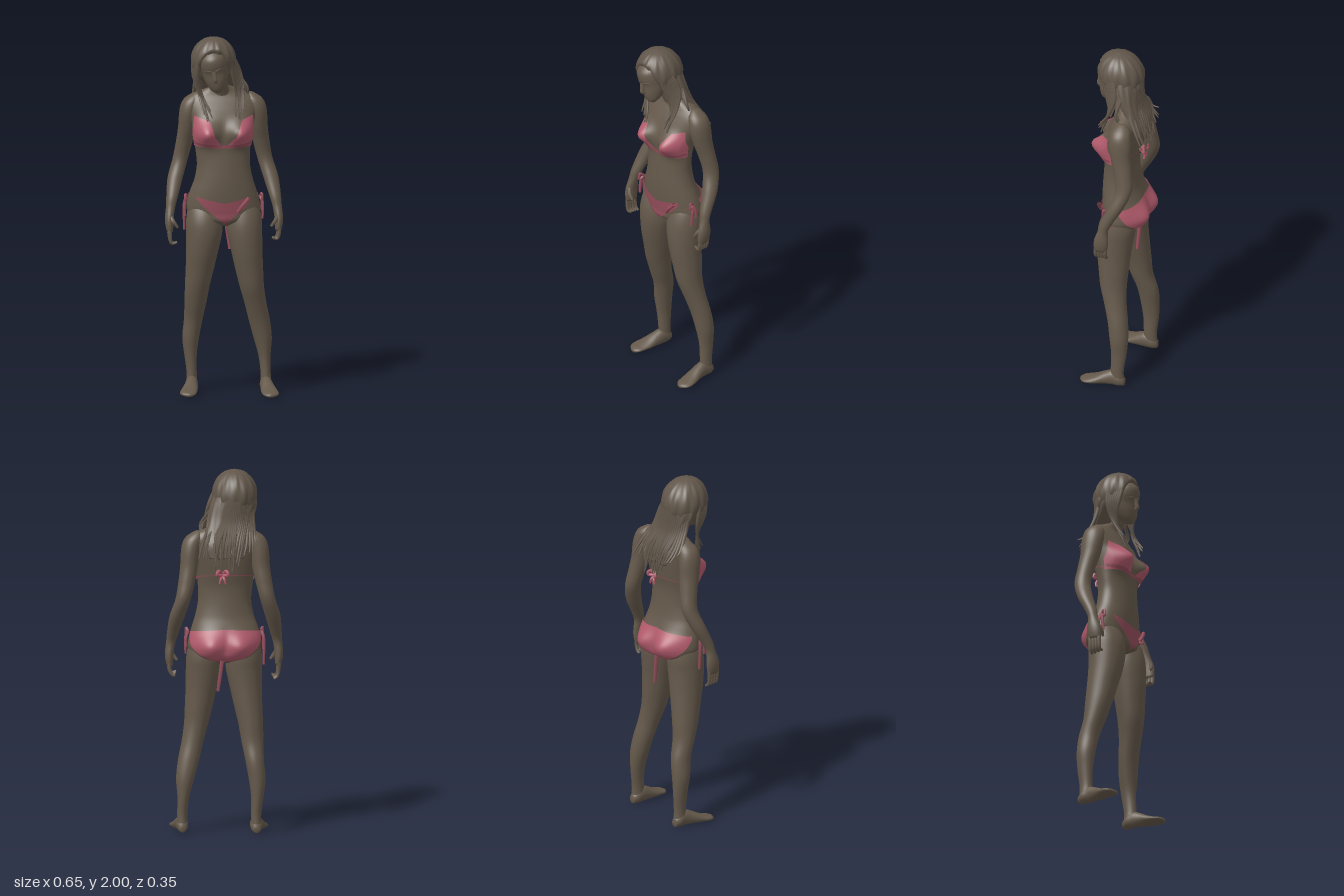
import * as THREE from 'three';

const skin = new THREE.MeshStandardMaterial({ color: 0x65594b });
skin.name = 'skin';
const hair = new THREE.MeshStandardMaterial({ color: 0x61564a });
hair.name = 'hair';
const pink = new THREE.MeshStandardMaterial({ color: 0xb05a6b, side: THREE.DoubleSide });
pink.name = 'pink cloth';
const dusky = new THREE.MeshStandardMaterial({ color: 0x934d5a, side: THREE.DoubleSide });
dusky.name = 'dusky pink cloth';

let seed = 7;
const rand = () => ((seed = (seed * 16807) % 2147483647) / 2147483647);
const v3 = (p) => new THREE.Vector3(...p);
const ramp = THREE.MathUtils.smoothstep;

// Smooth lookup of a section [key, x, z, rx, rz] at a given key
function section(rows, k) {
  let i = 0;
  while (i < rows.length - 2 && k > rows[i + 1][0]) i++;
  const a = rows[i], b = rows[i + 1], h = b[0] - a[0], t = (k - a[0]) / h;
  const slope = (j, c) => {
    const p = rows[Math.max(j - 1, 0)], q = rows[Math.min(j + 1, rows.length - 1)];
    return (q[c] - p[c]) / (q[0] - p[0]);
  };
  return a.map((_, c) => {
    const t2 = t * t, t3 = t2 * t;
    return (2 * t3 - 3 * t2 + 1) * a[c] + (t3 - 2 * t2 + t) * h * slope(i, c)
      + (3 * t2 - 2 * t3) * b[c] + (t3 - t2) * h * slope(i + 1, c);
  });
}

// Surface grid from a point rule; u runs around, v runs upward
function grid(nu, nv, closed, point) {
  const pos = [], idx = [], cols = closed ? nu : nu + 1;
  for (let j = 0; j <= nv; j++) for (let i = 0; i < cols; i++) pos.push(...point(i / nu, j / nv));
  for (let j = 0; j < nv; j++) for (let i = 0; i < nu; i++) {
    const a = j * cols + i, b = j * cols + (i + 1) % cols;
    idx.push(a, a + cols, b, b, a + cols, b + cols);
  }
  const g = new THREE.BufferGeometry();
  g.setAttribute('position', new THREE.Float32BufferAttribute(pos, 3));
  g.setIndex(idx);
  g.computeVertexNormals();
  return g;
}

// Closed loft through elliptical sections
function loft(rows, nu = 28, nv = 48, bump = null) {
  const k0 = rows[0][0], k1 = rows[rows.length - 1][0];
  return grid(nu, nv + 2, true, (u, v) => {
    const j = Math.round(v * (nv + 2)), t = Math.min(Math.max((j - 1) / nv, 0), 1);
    const r = j === 0 || j === nv + 2 ? 0.01 : 1, th = u * Math.PI * 2;
    const [y, x, z, rx, rz] = section(rows, k0 + (k1 - k0) * t);
    const b = r * (bump ? bump(th, t) : 1);
    return [x + rx * b * Math.cos(th), y, z + rz * b * Math.sin(th)];
  });
}

// Tapered tube through points
function strand(pts, r, tip = 0.25, seg = 14) {
  const curve = new THREE.CatmullRomCurve3(pts.map(v3));
  const g = new THREE.TubeGeometry(curve, seg, r, 6), p = g.attributes.position, q = new THREE.Vector3();
  for (let i = 0; i < p.count; i++) {
    const t = Math.floor(i / 7) / seg, c = curve.getPointAt(t);
    q.fromBufferAttribute(p, i).sub(c).multiplyScalar(1 - (1 - tip) * t * t).add(c);
    p.setXYZ(i, q.x, q.y, q.z);
  }
  return g;
}

const torsoRows = [
  [0.94, -0.005, -0.01, 0.05, 0.045], [0.97, -0.005, -0.012, 0.16, 0.1], [1.02, -0.005, -0.014, 0.2, 0.11],
  [1.08, -0.008, -0.012, 0.197, 0.113], [1.14, -0.008, -0.004, 0.18, 0.108], [1.2, -0.007, 0.004, 0.16, 0.1],
  [1.28, -0.008, 0.007, 0.146, 0.093], [1.36, -0.011, 0.005, 0.15, 0.09], [1.44, -0.012, -0.003, 0.16, 0.097],
  [1.52, -0.01, -0.015, 0.175, 0.098], [1.58, -0.01, -0.025, 0.195, 0.09], [1.63, -0.012, -0.035, 0.198, 0.076],
  [1.665, -0.015, -0.038, 0.165, 0.06], [1.69, -0.018, -0.034, 0.105, 0.052], [1.72, -0.02, -0.02, 0.05, 0.045],
];

// Torso surface with bust and seat swells
function torsoPoint(th, y, off = 0) {
  const [, cx, cz, rx, rz] = section(torsoRows, y), s = Math.sin(th);
  const x = cx + (rx + off) * Math.cos(th);
  const [amp, x0, y0, sx, sy] = s > 0 ? [0.073, 0.098, 1.467, 0.066, 0.06] : [-0.05, 0.085, 1.035, 0.075, 0.066];
  const swell = amp * Math.exp(-(((Math.abs(x - cx) - x0) / sx) ** 2) - ((y - y0) / sy) ** 2);
  return [x, y, cz + (rz + off) * s + swell * Math.min(1, Math.abs(s) * 2.5)];
}

// Cloth patch lying on the torso
const patch = (a, b, low, high, off = 0.006) => grid(40, 16, false, (u, v) => {
  const th = a + (b - a) * u, lo = low(th), hi = high(th);
  return torsoPoint(th, lo + (hi - lo) * v, off);
});

export function createModel() {
  const root = new THREE.Group();
  root.name = 'figure';
  const add = (name, geo, mat, parent = root) => {
    const m = new THREE.Mesh(geo, mat);
    m.name = name;
    parent.add(m);
    return m;
  };
  const P = Math.PI;

  // Torso and neck
  add('torso', grid(64, 90, true, (u, v) => torsoPoint(u * 2 * P, 0.94 + 0.78 * v)), skin);
  add('neck', loft([[1.6, -0.012, -0.04, 0.07, 0.05], [1.66, -0.015, -0.03, 0.06, 0.052],
    [1.72, -0.028, 0.0, 0.048, 0.05], [1.8, -0.045, 0.04, 0.047, 0.055]]), skin);

  // Legs, each with its own stance
  add('leftLeg', loft([[0.03, 0.228, -0.045, 0.03, 0.04], [0.1, 0.228, -0.046, 0.028, 0.037],
    [0.2, 0.222, -0.053, 0.033, 0.043], [0.3, 0.212, -0.05, 0.05, 0.052], [0.4, 0.193, -0.037, 0.058, 0.056],
    [0.5, 0.17, -0.015, 0.06, 0.062], [0.6, 0.148, 0.003, 0.067, 0.074], [0.7, 0.133, 0.007, 0.077, 0.084],
    [0.8, 0.12, 0.009, 0.086, 0.094], [0.9, 0.109, 0.004, 0.096, 0.102], [0.97, 0.105, -0.004, 0.098, 0.102],
    [1.04, 0.1, -0.01, 0.09, 0.085], [1.1, 0.1, -0.01, 0.06, 0.05]], 32, 60), skin);
  add('rightLeg', loft([[0.03, -0.175, -0.098, 0.03, 0.04], [0.1, -0.174, -0.098, 0.028, 0.037],
    [0.2, -0.18, -0.1, 0.034, 0.044], [0.3, -0.18, -0.095, 0.046, 0.053], [0.4, -0.167, -0.085, 0.051, 0.058],
    [0.5, -0.157, -0.055, 0.06, 0.062], [0.6, -0.148, -0.035, 0.068, 0.076], [0.7, -0.135, -0.02, 0.078, 0.086],
    [0.8, -0.123, -0.006, 0.088, 0.096], [0.9, -0.113, 0.0, 0.099, 0.102], [0.97, -0.112, -0.004, 0.1, 0.102],
    [1.04, -0.11, -0.01, 0.09, 0.085], [1.1, -0.11, -0.01, 0.06, 0.05]], 32, 60), skin);

  // Feet: sections run from heel to toe, height stored as negative z
  const foot = (name, x, z, turn) => {
    const rows = [[-0.05, 0, -0.03, 0.018, 0.022], [-0.025, 0, -0.04, 0.031, 0.037], [0.015, 0, -0.048, 0.033, 0.046],
      [0.06, 0.15, -0.04, 0.037, 0.038], [0.11, 0.4, -0.027, 0.045, 0.025], [0.15, 0.6, -0.02, 0.046, 0.017],
      [0.18, 0.6, -0.016, 0.037, 0.013], [0.198, 0.5, -0.013, 0.014, 0.008]]
      .map(([k, b, h, rx, ry]) => [k, b * turn, h, rx, ry]);
    add(name, loft(rows, 24, 36).rotateX(P / 2), skin).position.set(x, 0, z);
  };
  foot('leftFoot', 0.228, -0.038, 0.025);
  foot('rightFoot', -0.175, -0.09, -0.05);

  // Arms with hands and fingers
  for (const s of [1, -1]) {
    const side = s > 0 ? 'left' : 'right', ax = (x) => s * x - (s < 0 ? 0.012 : 0), drop = s > 0 ? 0 : 0.02;
    const arm = [[0.915, 0.291, 0.03, 0.017, 0.035], [0.95, 0.294, 0.027, 0.022, 0.041], [0.99, 0.294, 0.024, 0.024, 0.039],
      [1.05, 0.286, 0.015, 0.026, 0.028], [1.1, 0.277, -0.002, 0.032, 0.034], [1.2, 0.256, -0.05, 0.042, 0.043],
      [1.3, 0.226, -0.083, 0.042, 0.046], [1.4, 0.204, -0.072, 0.046, 0.05], [1.48, 0.191, -0.055, 0.049, 0.057],
      [1.56, 0.183, -0.045, 0.052, 0.064], [1.61, 0.172, -0.042, 0.053, 0.06], [1.645, 0.157, -0.042, 0.045, 0.048],
      [1.672, 0.14, -0.042, 0.018, 0.02]];
    add(side + 'Arm', loft(arm.map(([y, x, z, a, b]) => [y, ax(x), z, a, b]), 28, 56), skin);
    for (let f = 0; f < 4; f++) {
      const z = f * 0.018;
      add(side + 'Finger', strand([[ax(0.292), 0.94, z], [ax(0.293), 0.9, z + 0.003], [ax(0.283), 0.872 - drop, z + 0.002],
        [ax(0.266 - f * 0.004), 0.86 - drop + f * 0.006, z]], 0.0115, 0.65), skin);
    }
    add(side + 'Thumb', strand([[ax(0.29), 1.0, 0.045], [ax(0.272), 0.97, 0.06], [ax(0.25), 0.94, 0.058]], 0.013, 0.6), skin);
  }

  // Head, bowed and tipped to one side
  const head = new THREE.Group();
  head.name = 'head';
  head.position.set(-0.06, 1.82, 0.075);
  head.rotation.set(0.22, -0.1, 0.2);
  root.add(head);
  add('face', loft([[-0.115, 0, 0.045, 0.02, 0.018], [-0.095, 0, 0.036, 0.042, 0.044], [-0.05, 0, 0.012, 0.064, 0.073],
    [0, 0, -0.005, 0.076, 0.085], [0.05, 0, -0.005, 0.078, 0.09], [0.09, 0, -0.005, 0.066, 0.078],
    [0.125, 0, -0.005, 0.025, 0.03]], 32, 36), skin, head);
  add('nose', strand([[0, 0.02, 0.076], [0, -0.01, 0.088], [0, -0.03, 0.094], [0, -0.04, 0.078]], 0.012, 1), skin, head);
  for (const [name, y, z] of [['upperLip', -0.062, 0.078], ['lowerLip', -0.074, 0.075]])
    add(name, strand([[-0.022, y - 0.002, z - 0.01], [0, y, z], [0.022, y - 0.002, z - 0.01]], 0.007, 0.7), skin, head);
  for (const s of [1, -1])
    add('brow', strand([[s * 0.01, 0.02, 0.077], [s * 0.03, 0.026, 0.071], [s * 0.055, 0.018, 0.052]], 0.009, 0.5), skin, head);

  // Hair cap with an arched hairline, and the ridged mass down the back
  const ridge = (th, t) => 1 + 0.022 * Math.sin(th * 13 + t * 4) + 0.015 * Math.sin(th * 23 - t * 6);
  const hairline = (th, t) => {
    const s = Math.sin(th), edge = 0.25 + 0.42 * ramp(s, 0.6, 1);
    return ridge(th, t) - 0.2 * ramp(s, 0.5, 0.8) * (1 - ramp(t, edge - 0.05, edge + 0.12));
  };
  const cap = [];
  for (let i = 0; i <= 8; i++) {
    const a = -1.0 + 2.5 * i / 8;
    cap.push([1.865 + 0.133 * Math.sin(a), -0.065, 0.034 + 0.012 * Math.sin(a), 0.122 * Math.cos(a), 0.13 * Math.cos(a)]);
  }
  add('hairCap', loft(cap, 72, 48, hairline), hair);
  add('backHair', loft([[1.53, -0.01, -0.135, 0.09, 0.012], [1.6, -0.015, -0.115, 0.12, 0.025],
    [1.66, -0.02, -0.08, 0.12, 0.038], [1.74, -0.035, -0.035, 0.122, 0.06], [1.82, -0.055, -0.002, 0.122, 0.085],
    [1.9, -0.065, 0.02, 0.1, 0.09]], 72, 40, ridge), hair);

  // Loose locks down the back
  for (let i = 0; i < 26; i++) {
    const f = i / 25 - 0.5, j = rand() - 0.5, low = 1.44 + 0.12 * rand() + f * f * 0.2;
    add('backLock', strand([[-0.06 + f * 0.19, 1.84, -0.085 + f * f * 0.28], [-0.04 + f * 0.24, 1.72, -0.095 + f * f * 0.2],
      [-0.02 + f * 0.27 + j * 0.04, 1.61, -0.14 + f * f * 0.12], [-0.01 + f * 0.26 + j * 0.08, low, -0.14 - 0.025 * rand()]],
      0.014, 0.2), hair);
  }
  // Locks framing the face and hanging over the chest
  for (let i = 0; i < 7; i++) {
    const o = i * 0.011, e = 1.53 + 0.07 * rand();
    add('rightFrontLock', strand([[-0.08 - o * 0.4, 1.965, 0.105 - o], [-0.138 - o * 0.4, 1.89, 0.115 - o], [-0.158 - o * 0.3, 1.8, 0.1 - o],
      [-0.135 - o * 0.2, 1.69, 0.07 - o * 0.3], [-0.075 - o * 0.8, e, 0.1 + 0.01 * rand()]], 0.013, 0.25), hair);
    add('leftFrontLock', strand([[-0.06 + o * 0.5, 1.965, 0.105 - o], [0.01 + o * 0.4, 1.89, 0.11 - o], [0.038 + o * 0.7, 1.79, 0.085 - o],
      [0.06 + o * 0.6, 1.67, 0.06], [0.055 + o * 0.6, e + 0.01, 0.1 + 0.01 * rand()]], 0.013, 0.25), hair);
    if (i < 4) add('strayLock', strand([[0.03, 1.87, 0.03 - o], [0.065, 1.79, 0.02 - o], [0.095 + o, 1.73 - o, 0.0],
      [0.125 - o * 0.5, 1.69 - o * 2, -0.01 - o]], 0.011, 0.25), hair);
  }

  // Bikini top: cups with a steep inner edge, underband and back bow
  for (const [s, inner] of [[1, 0.6], [-1, 0.72]]) {
    const high = (th) => {
      const d = (s > 0 ? th : P - th) - 0.6;
      return d < 0 ? 1.56 + 0.22 * d : 1.56 - 0.05 * d - 0.085 * ramp(d, inner - 0.22, inner) - 0.03 * ramp(d, inner, 0.85);
    };
    add('cup', patch(s > 0 ? 0.12 : P - 1.45, s > 0 ? 1.45 : P - 0.12, () => 1.39, high), pink);
  }
  const band = (th) => 1.385 + 0.045 * (0.5 - 0.5 * Math.sin(th));
  add('chestBand', patch(0.2, P - 0.2, band, (th) => band(th) + 0.018, 0.008), dusky);
  add('backBand', patch(P - 0.2, 2 * P + 0.2, band, (th) => band(th) + 0.005, 0.004), dusky);
  for (const s of [1, -1]) {
    add('backBowLoop', strand([[0.012, 1.437, -0.106], [0.012 + s * 0.022, 1.462, -0.132], [0.012 + s * 0.03, 1.44, -0.138],
      [0.012, 1.435, -0.112]], 0.01, 1), pink);
    add('backBowTail', strand([[0.012, 1.437, -0.108], [0.012 + s * 0.01, 1.415, -0.132], [0.012 + s * 0.016, 1.39, -0.132]], 0.008, 0.7), pink);
  }

  // Bikini bottom: front, seat and side ties
  const kf = (th) => Math.min(1, Math.abs(th - P / 2) / 0.88), kb = (th) => Math.min(1, Math.abs(th - 1.5 * P) / 1.36);
  add('bottomFront', patch(P / 2 - 0.8, P / 2 + 0.88, (th) => 0.952 + 0.15 * kf(th) ** 0.9, (th) => 1.078 + 0.035 * kf(th)), dusky);
  add('bottomSeat', patch(P + 0.21, 2 * P - 0.21, (th) => 0.952 + 0.145 * kb(th) ** 2.3, (th) => 1.135 - 0.02 * kb(th), 0.007), pink);
  for (const s of [1, -1]) {
    const x = s > 0 ? 0.192 : -0.21;
    for (const [dz, end] of [[0.018, s > 0 ? 0.98 : 1.0], [-0.018, s > 0 ? 1.02 : 0.92]])
      add('hipTieTail', strand([[x, 1.106, 0.02], [x + s * 0.012, 1.07, 0.02 + dz * 0.6], [x + s * 0.012, end, 0.02 + dz]], 0.01, 0.7), dusky);
    add('hipTieLoop', strand([[x, 1.106, 0.02], [x + s * 0.008, 1.122, 0.04], [x + s * 0.01, 1.085, 0.045], [x, 1.104, 0.02]], 0.008, 1), dusky);
  }
  // Loose cord on the front and the hanging tail behind
  add('frontCord', strand([[0.065, 1.03, 0.1], [0.09, 1.065, 0.105], [0.125, 1.105, 0.095]], 0.011, 1), dusky);
  add('hangingTail', strand([[0.01, 0.98, -0.1], [0.02, 0.9, -0.1], [0.035, 0.79, -0.095]], 0.012, 0.8), dusky);
  return root;
}
